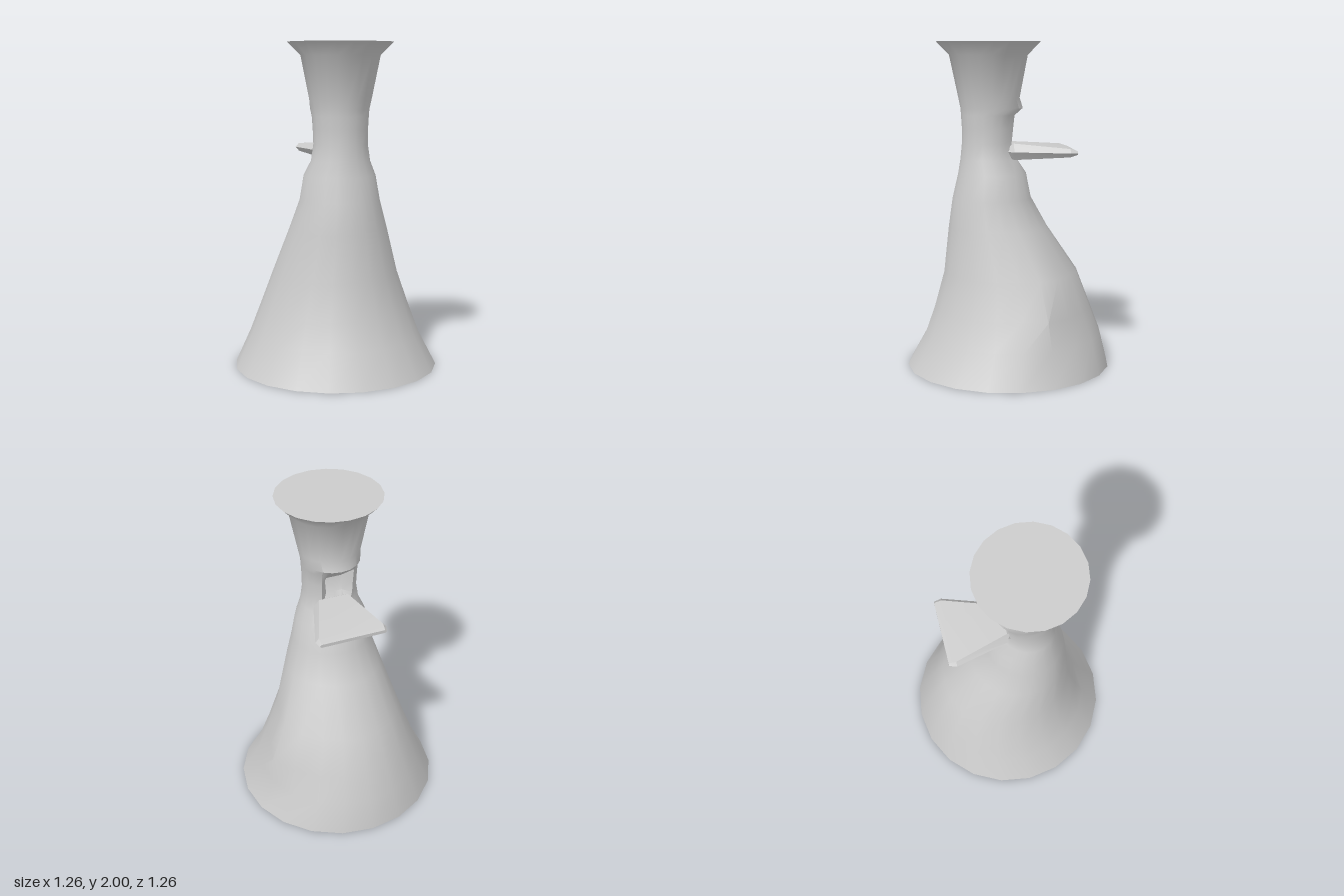
import * as THREE from 'three';
import { toCreasedNormals } from 'three/addons/utils/BufferGeometryUtils.js';

// Skin a stack of closed rings (counter-clockwise about the stacking axis) and cap both ends
function loft(rings, crease) {
  const n = rings[0].length, pos = rings.flat(2), idx = [];
  rings.slice(1).forEach((_, r) => {
    for (let i = 0; i < n; i++) {
      const a = r * n + i, b = r * n + (i + 1) % n;
      idx.push(a, b, b + n, a, b + n, a + n);
    }
  });
  const last = (rings.length - 1) * n;
  for (let i = 1; i < n - 1; i++) {
    idx.push(0, i + 1, i);
    idx.push(last, last + i, last + i + 1);
  }
  const g = new THREE.BufferGeometry();
  g.setAttribute('position', new THREE.Float32BufferAttribute(pos, 3));
  g.setIndex(idx);
  return toCreasedNormals(g, crease);
}

export function createModel() {
  const group = new THREE.Group();
  const mat = new THREE.MeshStandardMaterial({ color: 0xcccccc });
  const add = (name, geo) => {
    const mesh = new THREE.Mesh(geo, mat);
    mesh.name = name;
    group.add(mesh);
  };

  // Body rings: height, half width, front z, back z, side ridge, hollow floor z
  const profile = [
    [0, 0.63, 0.63, -0.63],
    [0.2, 0.53, 0.52, -0.58],
    [0.37, 0.465, 0.46, -0.515, 0.06],
    [0.59, 0.385, 0.40, -0.43, 0.04],
    [0.87, 0.30, 0.37, -0.24, 0.01],
    [1.05, 0.245, 0.345, -0.14],
    [1.2, 0.22, 0.31, -0.11],
    [1.29, 0.18, 0.295, -0.05],
    [1.39, 0.165, 0.285, -0.04, 0, 0.04],
    [1.48, 0.167, 0.285, -0.05, 0, 0.06],
    [1.56, 0.172, 0.29, -0.06, 0, -0.01],
    [1.6, 0.178, 0.293, -0.09],
    [1.66, 0.188, 0.305, -0.07],
    [1.92, 0.24, 0.36, -0.12],
    [2, 0.32, 0.44, -0.2],
  ];
  const sides = 20;
  const rings = profile.map(([y, w, front, back, ridge = 0, floor]) =>
    Array.from({ length: sides }, (_, i) => {
      const a = i / sides * Math.PI * 2;
      let x = w * Math.sin(a);
      let z = (front + back) / 2 + (front - back) / 2 * Math.cos(a);
      // ridge on the rear left flank
      if (i === 6) x += ridge;
      if (i === 7) x += ridge * 0.6;
      // hollow behind the neck
      if (floor !== undefined && Math.abs(i - 10) < 2) z = Math.max(z, floor);
      return [x, y, z];
    }));
  add('body', loft(rings, 0.75));

  // Flared wedge set in the hollow: z, right x, left x, half thickness, edge bevel
  const sections = [
    [-0.39, -0.16, 0.255, 0.01, 0.012],
    [-0.345, -0.175, 0.265, 0.025, 0.022],
    [-0.02, -0.1, 0.155, 0.05, 0.035],
    [0.03, -0.07, 0.12, 0.015, 0.02],
  ];
  const mid = 1.34;
  add('wedge', loft(sections.map(([z, l, r, h, b]) => [
    [l, mid, z], [l + b, mid - h, z], [r - b, mid - h, z],
    [r, mid, z], [r - b, mid + h, z], [l + b, mid + h, z],
  ]), 0.3));

  return group;
}
